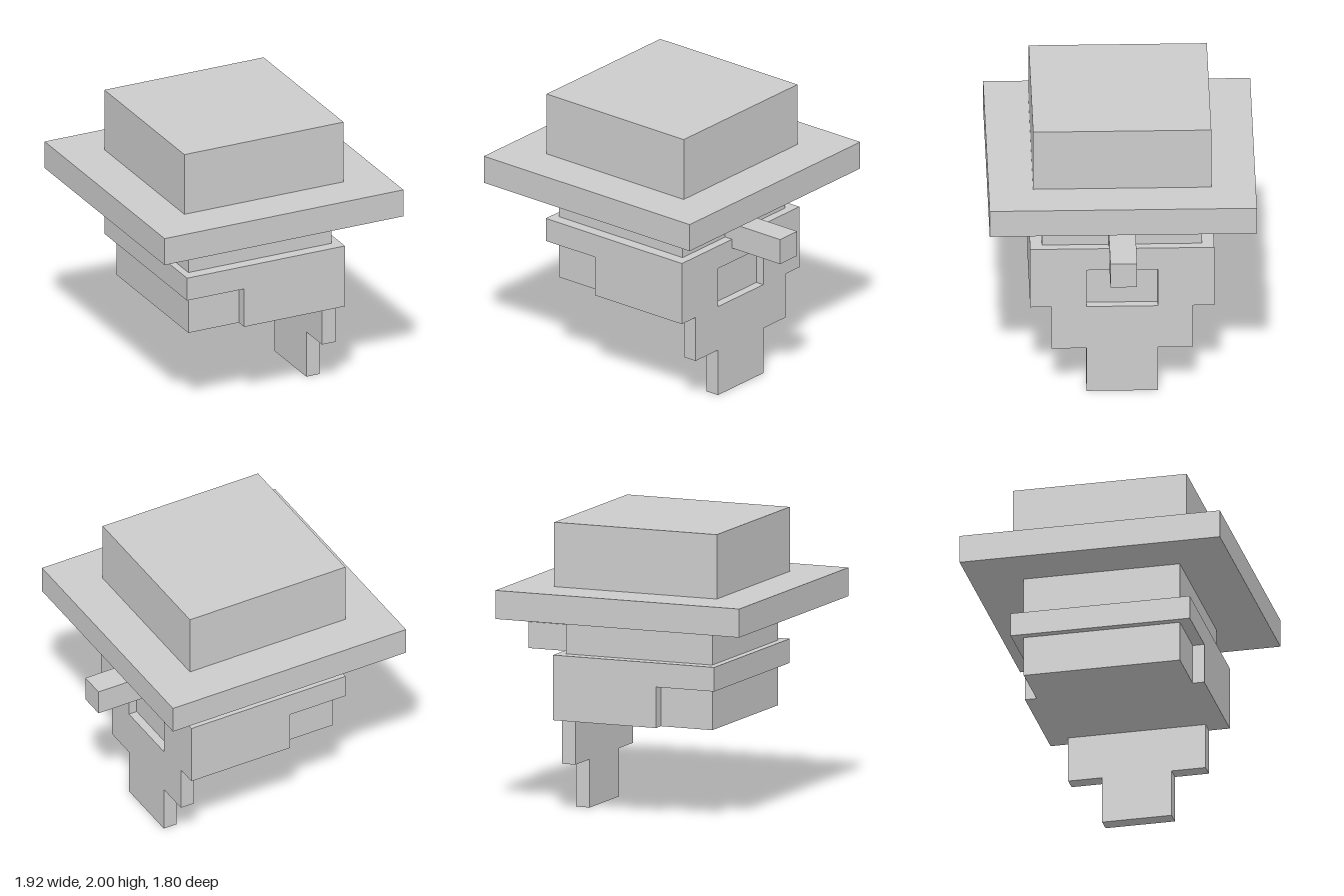
import * as THREE from 'three';

const material = new THREE.MeshStandardMaterial({ color: 0xcccccc, flatShading: true });

function add(group, name, geometry) {
  const mesh = new THREE.Mesh(geometry, material);
  mesh.name = name;
  group.add(mesh);
  return mesh;
}

// Box given by its lower and upper limits on each axis
function box(group, name, [x0, x1], [y0, y1], [z0, z1]) {
  const mesh = add(group, name, new THREE.BoxGeometry(x1 - x0, y1 - y0, z1 - z0));
  mesh.position.set((x0 + x1) / 2, (y0 + y1) / 2, (z0 + z1) / 2);
}

const points = (list) => list.map(([x, y]) => new THREE.Vector2(x, y));

export function createModel() {
  const model = new THREE.Group();
  model.name = 'hattedHead';

  // Hat
  box(model, 'hatCrown', [-0.66, 0.54], [1.56, 2], [-0.6, 0.6]);
  box(model, 'hatBrim', [-0.96, 0.84], [1.365, 1.56], [-0.9, 0.9]);

  // Head, nose and eyes; the face looks along +x
  box(model, 'head', [-0.6, 0.48], [0.65, 1.365], [-0.54, 0.54]);
  box(model, 'nose', [0.48, 0.96], [1.03, 1.21], [-0.09, 0.09]);
  box(model, 'leftEye', [0.48, 0.51], [1.22, 1.365], [-0.385, -0.2]);
  box(model, 'rightEye', [0.48, 0.51], [1.22, 1.365], [0.2, 0.385]);

  // Stepped beard plate with the mouth opening
  const half = [[0.24, 0], [0.24, 0.33], [0.475, 0.33], [0.475, 0.65], [0.62, 0.65], [0.62, 1.095]];
  const mirrored = half.map(([x, y]) => [-x, y]).reverse();
  const beardShape = new THREE.Shape(points([...half, ...mirrored]));
  beardShape.holes.push(new THREE.Path(points([[-0.24, 0.65], [-0.24, 0.93], [0.24, 0.93], [0.24, 0.65]])));
  const beard = add(model, 'beard', new THREE.ExtrudeGeometry(beardShape, { depth: 0.1, bevelEnabled: false }));
  beard.rotation.y = Math.PI / 2;
  beard.position.x = 0.44;

  // Whiskers on both cheeks, notched behind
  const sideShape = new THREE.Shape(points([
    [-0.22, 0.65], [0.44, 0.65], [0.44, 1.095], [-0.65, 1.095], [-0.65, 0.93], [-0.22, 0.93],
  ]));
  for (const [name, z] of [['frontWhiskers', 0.54], ['backWhiskers', -0.62]]) {
    add(model, name, new THREE.ExtrudeGeometry(sideShape, { depth: 0.08, bevelEnabled: false })).position.z = z;
  }

  // Band of hair round the back of the head
  box(model, 'hairBand', [-0.65, -0.6], [0.93, 1.095], [-0.54, 0.54]);

  return model;
}
